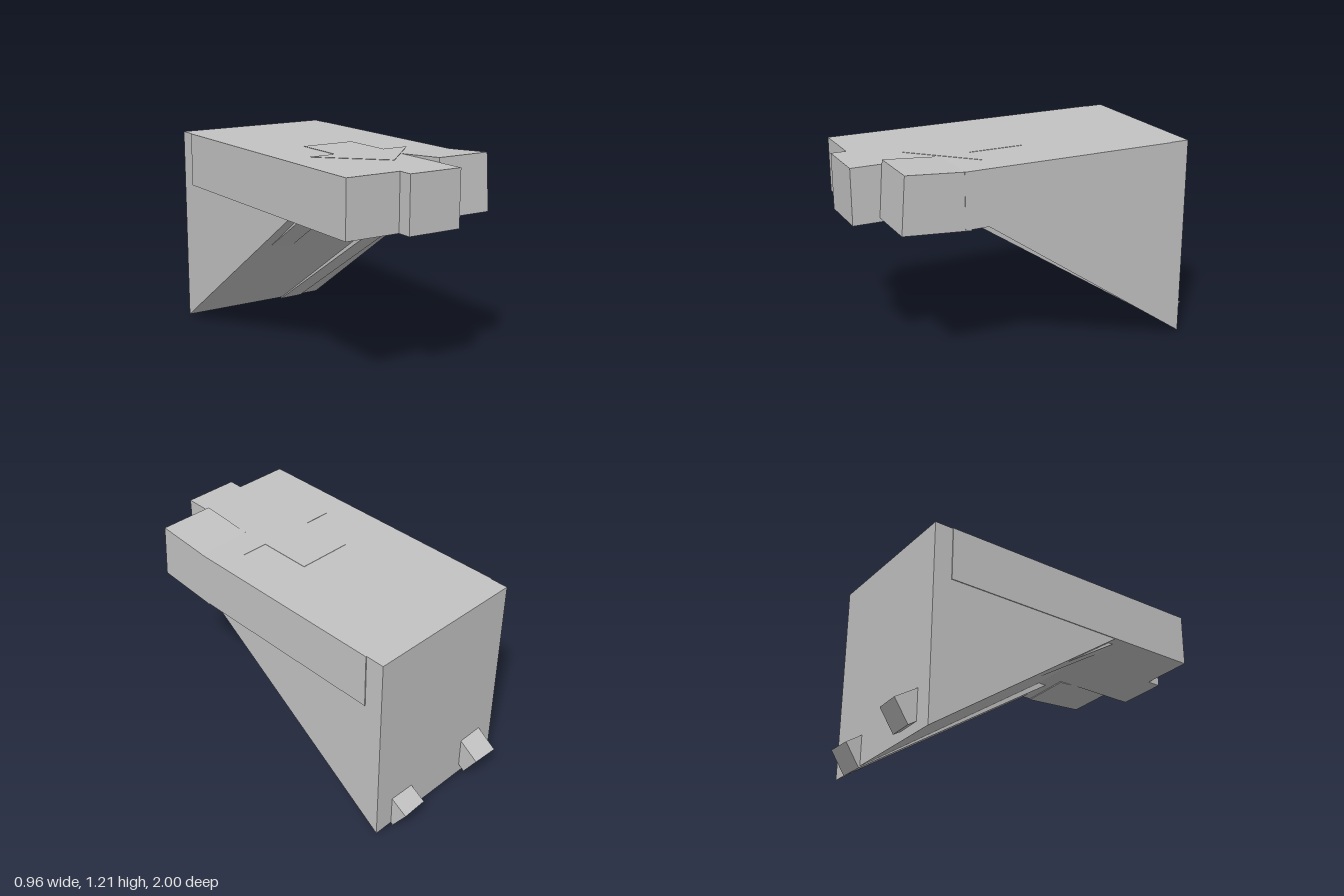
import * as THREE from 'three';

export function createModel() {
  const group = new THREE.Group();
  const grey = new THREE.MeshStandardMaterial({ color: 0xc2c2c2 });
  grey.name = 'light grey';

  const add = (name, geometry, parent = group) => {
    const mesh = new THREE.Mesh(geometry, grey);
    mesh.name = name;
    parent.add(mesh);
    return mesh;
  };

  // Box given by its minimum and maximum corners
  const block = (x0, x1, y0, y1, z0, z1) =>
    new THREE.BoxGeometry(x1 - x0, y1 - y0, z1 - z0)
      .translate((x0 + x1) / 2, (y0 + y1) / 2, (z0 + z1) / 2);

  const shapeFrom = (points) => new THREE.Shape(points.map(([a, b]) => new THREE.Vector2(a, b)));

  const bottom = 0.87, top = 1.185;

  // Flat slab and its two level front blocks
  add('platform', block(-0.48, 0.48, bottom, top, -0.76, 0.5));
  add('frontBlockRight', block(-0.48, -0.16, bottom, top, 0.5, 0.915));
  add('frontBlockMiddle', block(-0.16, 0.157, bottom, top, 0.5, 1));

  // Third front block, tipped up slightly
  const tipped = add('frontBlockTipped', block(0, 0.32, -0.318, 0, -0.06, 0.326));
  tipped.position.set(0.158, top, 0.5);
  tipped.rotation.x = -0.077;

  // Wedge body: side profile as (z, y), extruded across x
  const wedge = new THREE.ExtrudeGeometry(
    shapeFrom([[-0.87, 0.015], [0.366, bottom], [0.366, 0.9], [-0.76, 0.9], [-0.76, top], [-0.87, top]]),
    { depth: 0.95, bevelEnabled: false },
  );
  add('wedgeSupport', wedge.translate(0, 0, -0.475).rotateY(-Math.PI / 2));

  // Sloping struts, laid along the underside and poking out at the back
  const strut = (name, rear, front) => {
    const from = new THREE.Vector3(...rear), to = new THREE.Vector3(...front);
    const s = 0.155, length = from.distanceTo(to) * 1.05;
    const mesh = add(name, block(-s / 2, s / 2, 0, s, 0, length));
    mesh.position.copy(from);
    mesh.lookAt(to);
  };
  strut('strutRight', [-0.285, 0.045, -0.913], [-0.337, bottom, 0.4]);
  strut('strutLeft', [0.281, 0.003, -0.88], [0.335, bottom, 0.42]);

  // Arrow plate on the top, pointing to the front
  const arrow = new THREE.ExtrudeGeometry(
    shapeFrom([[0, -0.65], [0.32, -0.33], [0.16, -0.33], [0.16, -0.015],
      [-0.16, -0.015], [-0.16, -0.33], [-0.32, -0.33]]),
    { depth: 0.004, bevelEnabled: false },
  );
  add('arrowPlate', arrow.rotateX(-Math.PI / 2).translate(0, top - 0.002, 0));

  return group;
}
